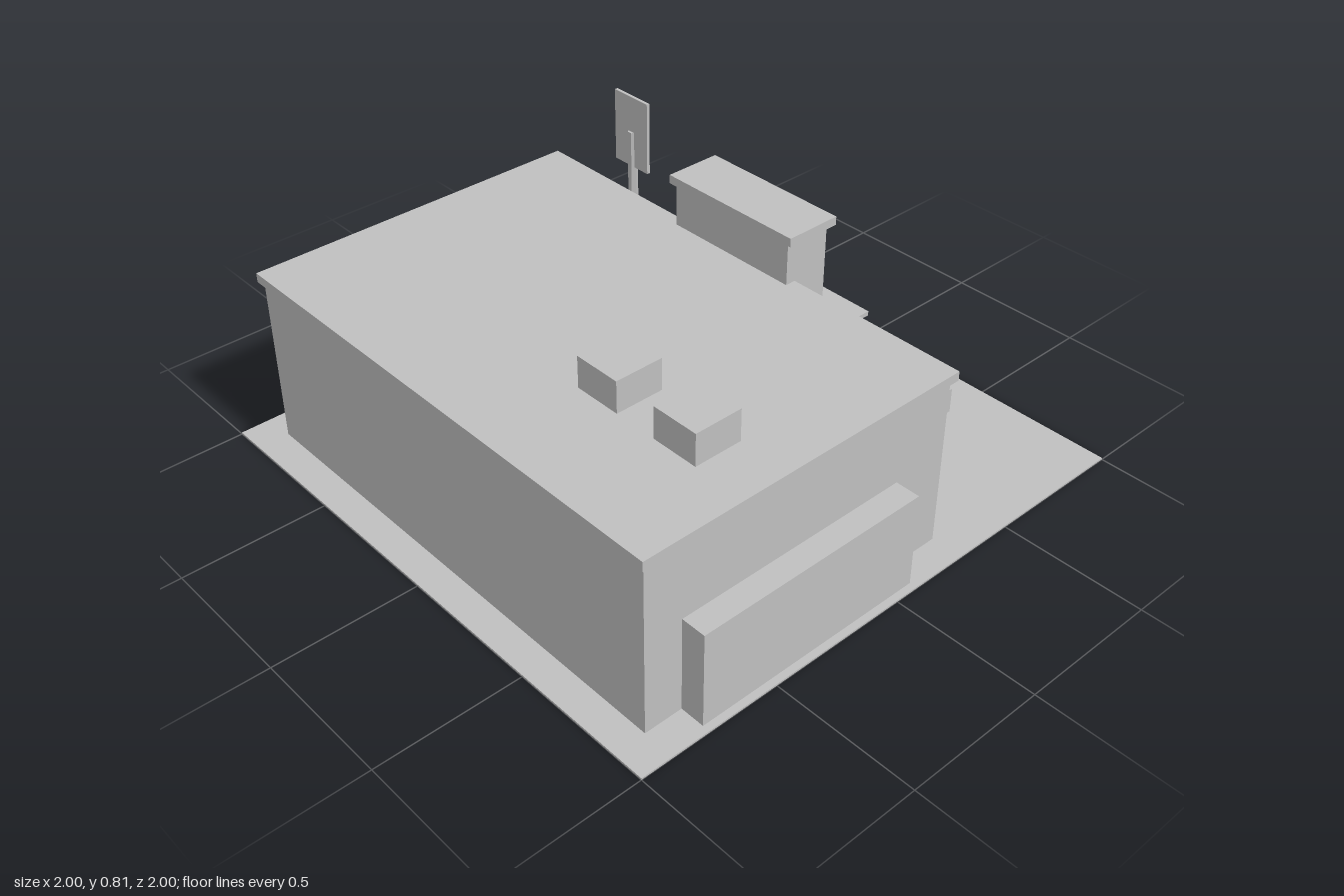
import * as THREE from 'three';

export function createModel() {
  const model = new THREE.Group();
  model.name = 'shopBuilding';
  const grey = new THREE.MeshStandardMaterial({ color: 0xbfbfbf });
  grey.name = 'plain grey';

  // Box given by its extents on each axis
  const box = (name, [x0, x1], [y0, y1], [z0, z1]) => {
    const mesh = new THREE.Mesh(new THREE.BoxGeometry(x1 - x0, y1 - y0, z1 - z0), grey);
    mesh.position.set((x0 + x1) / 2, (y0 + y1) / 2, (z0 + z1) / 2);
    mesh.name = name;
    model.add(mesh);
    return mesh;
  };
  // Same box on both sides of x = 0
  const pair = (name, [x0, x1], y, z) => {
    box(name + 'Left', [x0, x1], y, z);
    box(name + 'Right', [-x1, -x0], y, z);
  };

  // Ground, main hall and roof slab
  box('ground', [-1, 1], [0, 0.006], [-1, 1]);
  box('hall', [-0.89, 0.89], [0.006, 0.6], [-0.285, 0.89]);
  box('roof', [-0.905, 0.905], [0.6, 0.632], [-0.302, 0.905]);

  // Low annexes along the sides
  pair('annex', [0.89, 0.975], [0.006, 0.337], [-0.083, 0.757]);

  // Roof units
  for (const x of [0.235, 0.552])
    box('roofUnit', [x, x + 0.166], [0.632, 0.741], [0.386, 0.553]);

  // Entrance tower with cap and canopy
  box('tower', [-0.25, 0.25], [0.006, 0.78], [-0.435, -0.265]);
  box('towerCap', [-0.27, 0.27], [0.78, 0.81], [-0.454, -0.254]);
  box('canopy', [-0.286, 0.286], [0.38, 0.396], [-0.623, -0.388]);

  // Entrance doors and frame
  box('door', [-0.19, 0.19], [0.006, 0.36], [-0.442, -0.435]);
  pair('doorPost', [0.185, 0.205], [0.006, 0.372], [-0.449, -0.435]);
  box('doorLintel', [-0.185, 0.185], [0.354, 0.372], [-0.449, -0.435]);

  // Shop windows with frame, middle bar and fascia on each wing
  pair('window', [0.25, 0.84], [0.05, 0.43], [-0.289, -0.285]);
  pair('windowPost', [0.835, 0.852], [0.04, 0.44], [-0.295, -0.285]);
  pair('windowSill', [0.25, 0.835], [0.04, 0.055], [-0.295, -0.285]);
  pair('windowHead', [0.25, 0.835], [0.425, 0.44], [-0.295, -0.285]);
  pair('windowBar', [0.25, 0.845], [0.232, 0.246], [-0.299, -0.285]);
  pair('fascia', [0.25, 0.875], [0.467, 0.548], [-0.317, -0.285]);

  // Roadside sign on a six-sided pole
  const poleShape = new THREE.CylinderGeometry(0.018, 0.018, 0.67, 6).rotateY(Math.PI / 2).toNonIndexed();
  poleShape.computeVertexNormals();
  const pole = new THREE.Mesh(poleShape, grey);
  pole.position.set(-0.776, 0.341, -0.538);
  pole.name = 'signPole';
  model.add(pole);
  box('signBoard', [-0.861, -0.693], [0.54, 0.81], [-0.544, -0.532]);

  return model;
}
